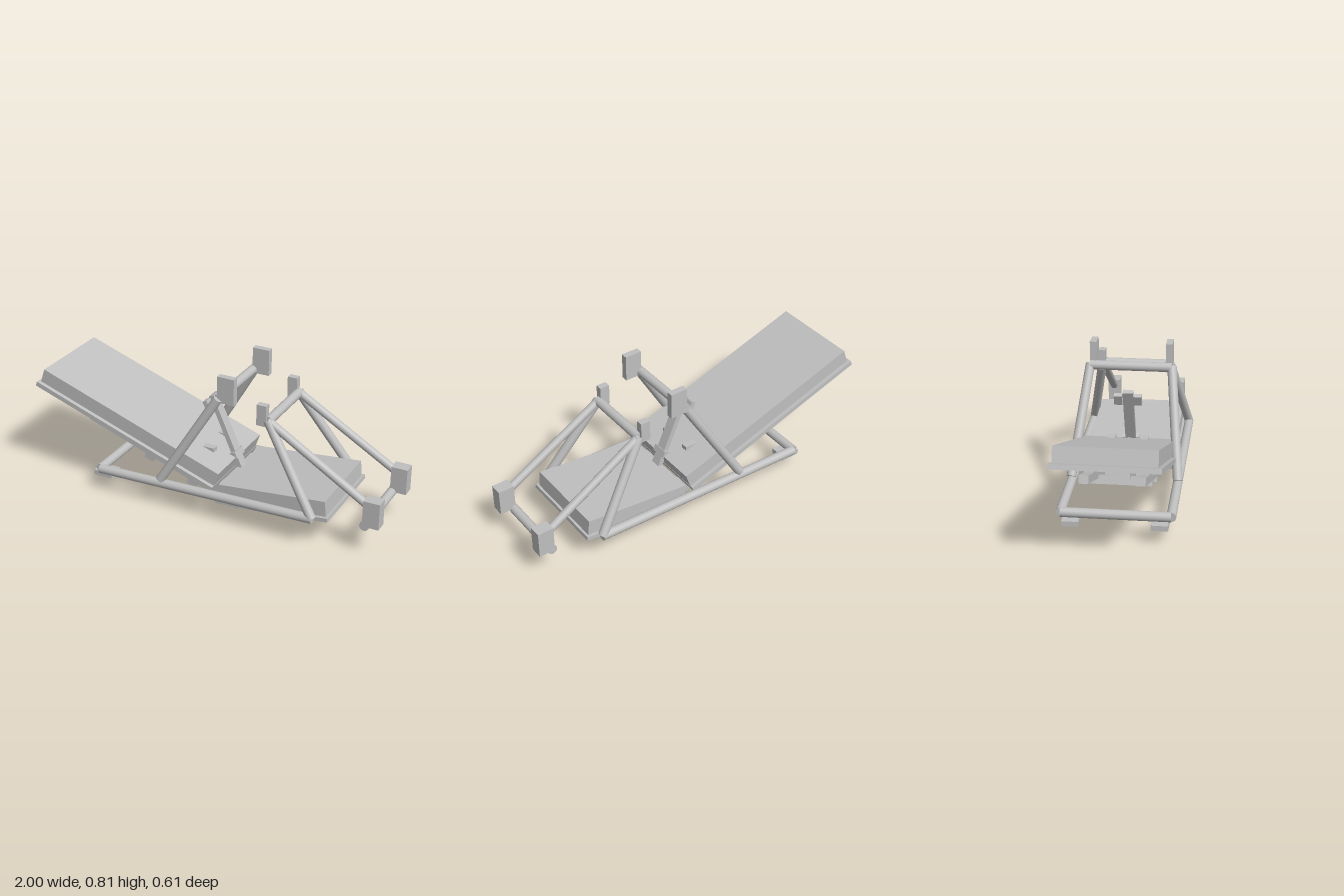
import * as THREE from 'three';

export function createModel() {
  const model = new THREE.Group();
  model.name = 'recliningSeatFrame';
  const grey = new THREE.MeshStandardMaterial({ color: 0xbfbfbf });
  grey.name = 'plain grey';

  const add = (name, geometry) => {
    const mesh = new THREE.Mesh(geometry, grey);
    mesh.name = name;
    model.add(mesh);
    return mesh;
  };

  // Axis-aligned block given by its limits
  const block = (name, x0, x1, y0, y1, z0, z1) =>
    add(name, new THREE.BoxGeometry(x1 - x0, y1 - y0, z1 - z0))
      .position.set((x0 + x1) / 2, (y0 + y1) / 2, (z0 + z1) / 2);

  // Tilted slab: lower edge from (x0, y0) to (x1, y1), thickness rising at right angles
  const slab = (name, x0, y0, x1, y1, thick, z0, z1) => {
    const a = Math.atan2(y1 - y0, x1 - x0);
    const mesh = add(name, new THREE.BoxGeometry(Math.hypot(x1 - x0, y1 - y0), thick, z1 - z0));
    mesh.position.set(
      (x0 + x1) / 2 - Math.sin(a) * thick / 2,
      (y0 + y1) / 2 + Math.cos(a) * thick / 2,
      (z0 + z1) / 2);
    mesh.rotation.z = a;
  };

  // Round bar between two points
  const tube = (name, from, to, radius = 0.025) => {
    const a = new THREE.Vector3(...from), b = new THREE.Vector3(...to);
    const mesh = add(name, new THREE.CylinderGeometry(radius, radius, a.distanceTo(b), 28));
    mesh.position.copy(a).add(b).multiplyScalar(0.5);
    mesh.quaternion.setFromUnitVectors(new THREE.Vector3(0, 1, 0), b.sub(a).normalize());
  };
  const crossTube = (name, x, y, halfWidth, radius) =>
    tube(name, [x, y, -halfWidth], [x, y, halfWidth], radius);

  // Backrest and seat: cushion on a slightly wider board
  slab('backrestBoard', -1.0, 0.537, 0.075, 0.162, 0.026, -0.265, 0.265);
  slab('backrestCushion', -0.976, 0.56, 0.084, 0.19, 0.08, -0.247, 0.247);
  slab('seatBoard', 0.1, 0.092, 0.733, 0.155, 0.022, -0.255, 0.255);
  slab('seatCushion', 0.118, 0.116, 0.718, 0.177, 0.085, -0.24, 0.24);

  for (const s of [-1, 1]) {
    const side = s > 0 ? 'left' : 'right';
    const pair = (a, b) => [Math.min(s * a, s * b), Math.max(s * a, s * b)];

    // Tubular side frame
    tube(side + 'BaseTube', [-0.595, 0.132, s * 0.278], [0.66, 0.168, s * 0.278]);
    tube(side + 'RearStrut', [-0.22, 0.165, s * 0.28], [0.095, 0.687, s * 0.218]);
    tube(side + 'FrontStrut', [0.655, 0.168, s * 0.278], [0.363, 0.612, s * 0.188]);
    tube(side + 'FrontArm', [0.363, 0.61, s * 0.186], [0.925, 0.275, s * 0.195], 0.022);

    // Pads and end plates
    block(side + 'FootPad', -0.645, -0.535, 0.078, 0.106, ...pair(0.18, 0.267));
    block(side + 'RearHandlePlate', 0.09, 0.185, 0.665, 0.81, ...pair(0.185, 0.22));
    block(side + 'MiddlePlate', 0.304, 0.358, 0.58, 0.695, ...pair(0.167, 0.203));
    block(side + 'FrontPlate', 0.907, 0.995, 0.17, 0.315, ...pair(0.16, 0.228));

    // Rails below the boards
    slab(side + 'BackrestRail', -0.725, 0.35, 0.075, 0.071, 0.042, ...pair(0.115, 0.163));
    slab(side + 'BackrestRailSpacer', -0.545, 0.329, 0.085, 0.109, 0.046, ...pair(0.115, 0.163));
    slab(side + 'SeatRail', 0.13, 0.033, 0.565, 0.077, 0.038, ...pair(0.113, 0.163));
    block(side + 'BackrestStop', -0.065, 0.01, 0.296, 0.324, ...pair(0.07, 0.107));
    slab(side + 'LeverGrip', -0.025, 0.522, -0.05, 0.577, 0.026, ...pair(0.03, 0.073));
  }

  // Cross members of the frame
  crossTube('rearCrossTube', -0.597, 0.134, 0.278);
  crossTube('handleCrossTube', 0.09, 0.682, 0.218);
  crossTube('middleCrossTube', 0.363, 0.61, 0.19);
  crossTube('frontCrossTube', 0.915, 0.167, 0.22);

  // Pivot, roller and adjusting lever
  crossTube('pivotShaft', 0.18, 0.072, 0.183, 0.027);
  crossTube('pivotRoller', 0.178, 0.07, 0.03, 0.07);
  slab('adjustingLever', 0.19, 0.085, -0.035, 0.592, 0.028, -0.028, 0.028);
  slab('leverCollar', 0.118, 0.262, 0.103, 0.295, 0.034, -0.045, 0.045);

  // Slotted plate hung between the backrest rails
  const plate = new THREE.Shape();
  plate.moveTo(-0.17, -0.05).lineTo(0.17, -0.05).lineTo(0.17, 0.05).lineTo(-0.17, 0.05).closePath();
  for (const x of [-0.09, 0, 0.09]) {
    const hole = new THREE.Path();
    hole.absellipse(x, 0, 0.03, 0.025, 0, Math.PI * 2, true);
    plate.holes.push(hole);
  }
  const slotted = add('slottedPlate', new THREE.ExtrudeGeometry(plate,
    { depth: 0.035, bevelEnabled: false, curveSegments: 12 }).rotateX(-Math.PI / 2));
  slotted.position.set(-0.24, 0.18, 0);
  slotted.rotation.z = -0.336;
  for (const x of [-0.36, -0.1])
    slab('railCrossBar', x - 0.025, 0.076 - 0.349 * x, x + 0.025, 0.0586 - 0.349 * x, 0.045, -0.163, 0.163);

  return model;
}
